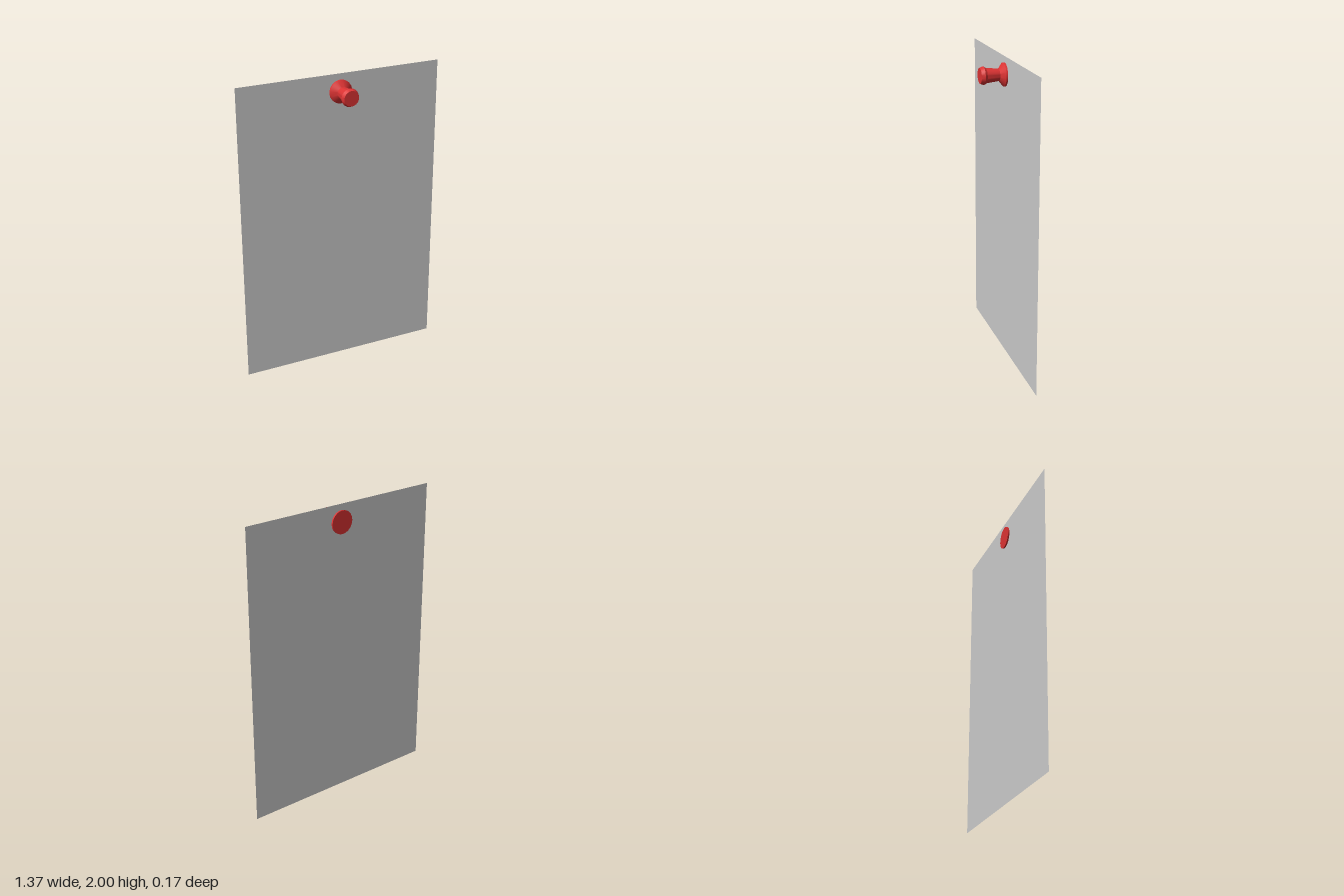
import * as THREE from 'three';
import { toCreasedNormals } from 'three/addons/utils/BufferGeometryUtils.js';

export function createModel() {
  const model = new THREE.Group();
  model.name = 'pinnedSheet';

  // Thin sheet of paper, passing through the pin's flange
  const paper = new THREE.Mesh(
    new THREE.PlaneGeometry(1.37, 2),
    new THREE.MeshStandardMaterial({ color: 0xcccccc, side: THREE.DoubleSide })
  );
  paper.name = 'paperSheet';
  paper.position.set(0, 1, -0.076);
  model.add(paper);

  // Push pin: [radius, distance along z], from flange to grip
  const profile = [
    [0, -0.086], [0.075, -0.086], [0.075, -0.066], [0.038, -0.037],
    [0.048, 0.047], [0.058, 0.062], [0.049, 0.085], [0, 0.085],
  ].map(([r, z]) => new THREE.Vector2(r, z));
  const pinGeometry = toCreasedNormals(new THREE.LatheGeometry(profile, 32), 0.4);
  pinGeometry.rotateX(Math.PI / 2);
  const pin = new THREE.Mesh(pinGeometry, new THREE.MeshStandardMaterial({ color: 0xdd3333 }));
  pin.name = 'pushPin';
  pin.position.y = 1.885;
  model.add(pin);

  return model;
}
